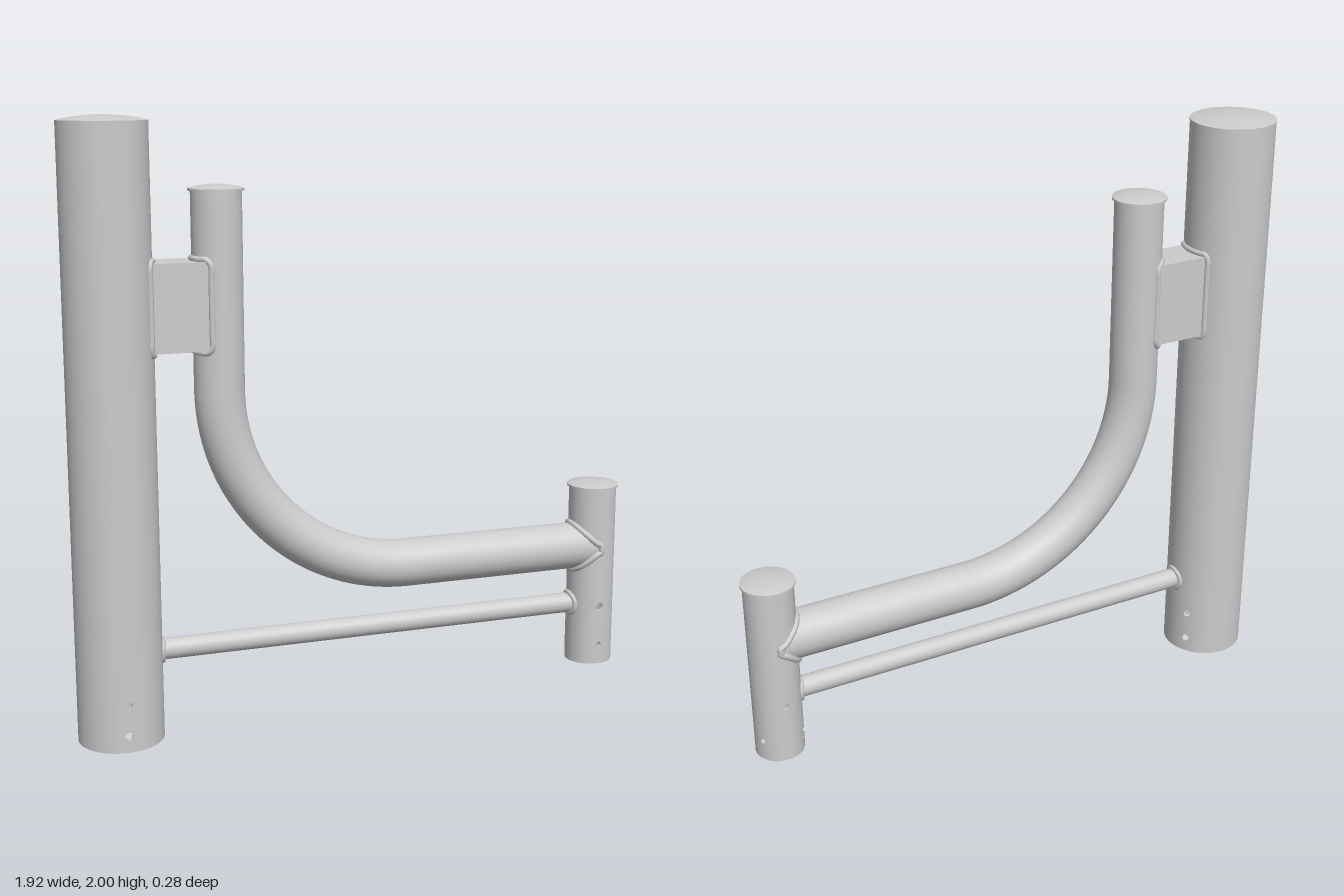
import * as THREE from 'three';
import { mergeGeometries, toCreasedNormals } from 'three/addons/utils/BufferGeometryUtils.js';

const grey = new THREE.MeshStandardMaterial({ color: 0xcccccc });
const POST = { x: -0.82, r: 0.14 };
const ARM = { x: -0.47, y: 0.495, r: 0.081, bend: 0.64 };
const SOCKET = { x: 0.87, r: 0.082 };
const BAR = { y: 0.285, r: 0.035 };

function part(name, geometry, x = 0, y = 0) {
  const mesh = new THREE.Mesh(geometry, grey);
  mesh.name = name;
  mesh.position.set(x, y, 0);
  return mesh;
}

// x offset from a vertical cylinder's axis to its surface at depth z
const saddle = (r, z) => Math.sqrt(Math.max(0, r * r - z * z));

// Open pipe wall rolled from flat panels; holes are { column, y, r }
function pipeWall(r, wall, y0, y1, columns, holes) {
  const panels = [];
  const step = (Math.PI * 2) / columns;
  const addPanel = (angle, width, drilled) => {
    const w = (width * r) / 2;
    const shape = new THREE.Shape([
      new THREE.Vector2(-w, y0), new THREE.Vector2(w, y0),
      new THREE.Vector2(w, y1), new THREE.Vector2(-w, y1)]);
    for (const h of drilled) {
      shape.holes.push(new THREE.Path().absarc(0, h.y, h.r, 0, Math.PI * 2, true));
    }
    const geo = new THREE.ExtrudeGeometry(shape, { depth: wall, bevelEnabled: false, curveSegments: 10 });
    const p = geo.attributes.position, n = geo.attributes.normal;
    for (let i = 0; i < p.count; i++) {
      const a = angle + p.getX(i) / r;
      const s = Math.sin(a), c = Math.cos(a);
      const radius = r - wall + p.getZ(i);
      const nx = n.getX(i), nz = n.getZ(i);
      p.setXYZ(i, radius * s, p.getY(i), radius * c);
      n.setXYZ(i, nx * c + nz * s, n.getY(i), nz * c - nx * s);
    }
    panels.push(geo);
  };
  for (let k = 0; k < columns; k++) {
    const drilled = holes.filter((h) => h.column === k);
    if (drilled.length) addPanel(k * step, step, drilled);
    else for (let j = -1; j <= 1; j++) addPanel((k + j / 3) * step, step / 3, []);
  }
  return mergeGeometries(panels);
}

// Shallow domed cap with a straight rim
function capGeometry(r, rim, dome) {
  const profile = [new THREE.Vector2(0, 0), new THREE.Vector2(r, 0)];
  for (let i = 0; i <= 8; i++) {
    const t = i / 8;
    profile.push(new THREE.Vector2(r * (1 - t), rim + dome * (1 - (1 - t) ** 2)));
  }
  return toCreasedNormals(new THREE.LatheGeometry(profile, 64), 0.5);
}

// Weld bead along a closed loop of points
function weld(name, points, r) {
  const curve = new THREE.CatmullRomCurve3(points, true);
  return part(name, new THREE.TubeGeometry(curve, 128, r, 8, true));
}

// Round weld where a horizontal pipe meets an upright; side is +1 or -1
function roundWeld(name, upright, side, y, r, bead) {
  const points = [];
  for (let i = 0; i < 48; i++) {
    const a = (i / 48) * Math.PI * 2;
    const z = r * Math.cos(a);
    points.push(new THREE.Vector3(upright.x + side * saddle(upright.r, z), y + r * Math.sin(a), z));
  }
  return weld(name, points, bead);
}

// Rectangular weld around the bracket end
function bracketWeld(name, x, r, side, y, h, d) {
  const points = [];
  const corners = [[-1, -1], [1, -1], [1, 1], [-1, 1]];
  corners.forEach(([a, b], k) => {
    const [c, e] = corners[(k + 1) % 4];
    for (let i = 0; i < 8; i++) {
      const t = (i + 0.5) / 8;
      const z = (d / 2) * (a + (c - a) * t);
      points.push(new THREE.Vector3(x + side * saddle(r, z), y + (h / 2) * (b + (e - b) * t), z));
    }
  });
  return weld(name, points, 0.01);
}

// Bent arm: vertical run, quarter bend, horizontal run coped to the socket
function armGeometry() {
  const { x, y, r, bend } = ARM;
  const k = bend * (1 - 0.5523);
  const v = (px, py) => new THREE.Vector3(px, py, 0);
  const path = new THREE.CurvePath();
  path.add(new THREE.LineCurve3(v(x, 1.77), v(x, y + bend)));
  path.add(new THREE.CubicBezierCurve3(v(x, y + bend), v(x, y + k), v(x + k, y), v(x + bend, y)));
  path.add(new THREE.LineCurve3(v(x + bend, y), v(0.78, y)));
  const segments = 96, sides = 48;
  const geo = new THREE.TubeGeometry(path, segments, r, sides);
  const p = geo.attributes.position;
  for (let i = segments * (sides + 1); i < p.count; i++) {
    p.setX(i, SOCKET.x - saddle(SOCKET.r, p.getZ(i)));
  }
  return geo;
}

// Bracket block with both ends shaped to the pipes
function bracketGeometry(h, d) {
  const geo = new THREE.BoxGeometry(1, h, d, 1, 1, 10);
  const p = geo.attributes.position;
  for (let i = 0; i < p.count; i++) {
    const z = p.getZ(i);
    p.setX(i, p.getX(i) < 0 ? POST.x + saddle(POST.r, z) : ARM.x - saddle(ARM.r, z));
  }
  return geo;
}

export function createModel() {
  const model = new THREE.Group();
  model.name = 'pipeFrame';

  // Main post, drilled at three angles on two levels
  const postHoles = [];
  for (const column of [0, 8, 16]) {
    for (const y of [0.055, 0.16]) postHoles.push({ column, y, r: 0.013 });
  }
  model.add(part('mainPost', pipeWall(POST.r, 0.01, 0, 1.978, 24, postHoles), POST.x));
  model.add(part('mainPostCap', capGeometry(0.141, 0.006, 0.016), POST.x, 1.978));

  // Bent arm
  model.add(part('bentArm', armGeometry()));
  model.add(part('bentArmCap', capGeometry(0.089, 0.007, 0.012), ARM.x, 1.766));

  // Short socket with a cross hole and three set-screw holes
  const socketHoles = [0, 6, 12].map((column) => ({ column, y: 0.145, r: 0.009 }));
  socketHoles.push({ column: 0, y: 0.285, r: 0.013 }, { column: 9, y: 0.285, r: 0.013 });
  model.add(part('socket', pipeWall(SOCKET.r, 0.008, 0.073, 0.712, 18, socketHoles), SOCKET.x));
  model.add(part('socketCap', capGeometry(0.089, 0.007, 0.012), SOCKET.x, 0.708));

  // Lower bar
  const x0 = -0.684, x1 = 0.795;
  const bar = new THREE.CylinderGeometry(BAR.r, BAR.r, x1 - x0, 32, 1, true).rotateZ(Math.PI / 2);
  model.add(part('lowerBar', bar, (x0 + x1) / 2, BAR.y));

  // Bracket between post and arm
  const h = 0.28, d = 0.14, y = 1.41;
  model.add(part('bracket', bracketGeometry(h, d), 0, y));

  // Weld beads
  model.add(bracketWeld('bracketPostWeld', POST.x, POST.r, 1, y, h + 0.012, d + 0.004));
  model.add(bracketWeld('bracketArmWeld', ARM.x, ARM.r, -1, y, h + 0.012, d + 0.004));
  model.add(roundWeld('armWeld', SOCKET, -1, ARM.y, 0.083, 0.011));
  model.add(roundWeld('barPostWeld', POST, 1, BAR.y, 0.037, 0.01));
  model.add(roundWeld('barSocketWeld', SOCKET, -1, BAR.y, 0.037, 0.01));

  return model;
}
